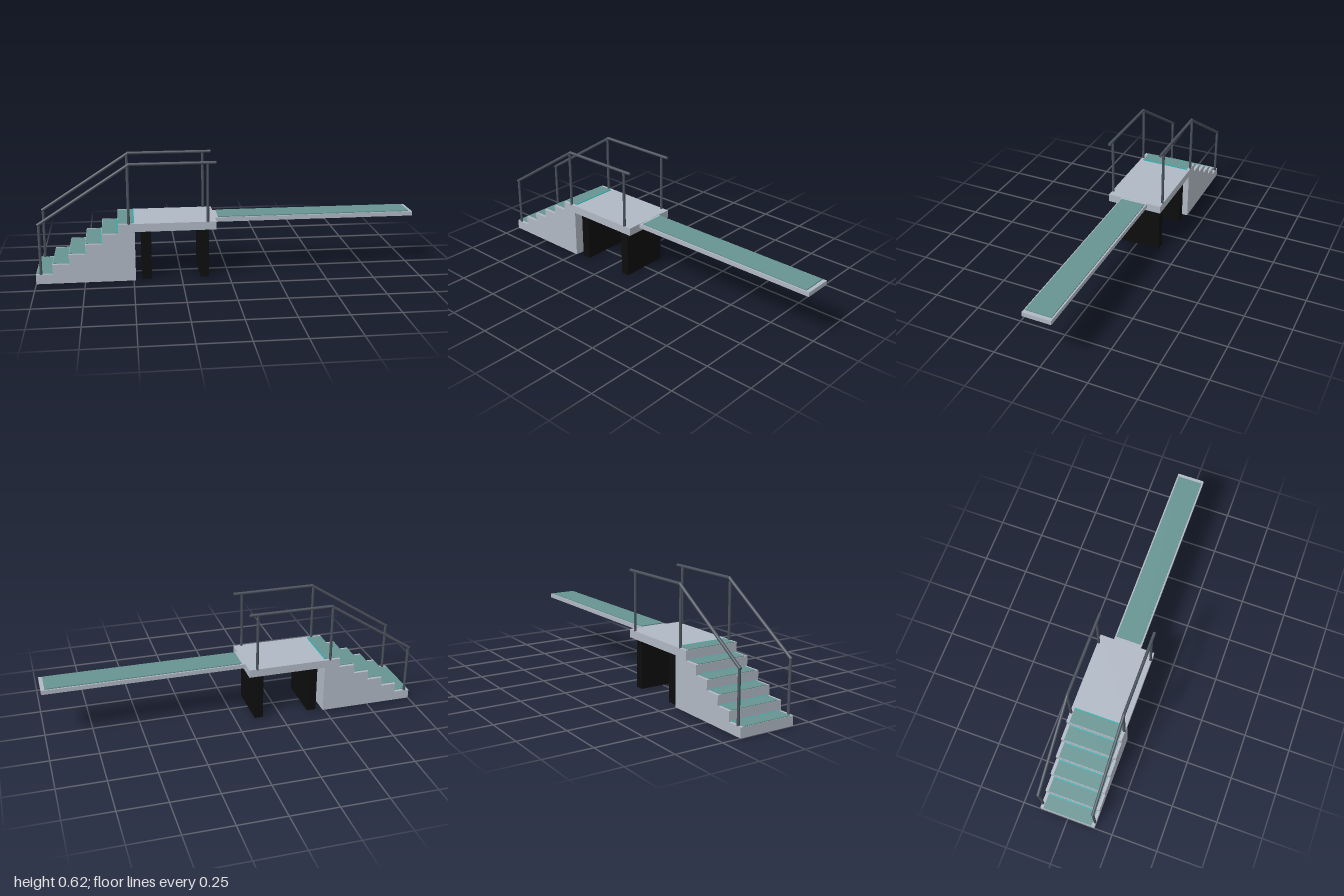
import * as THREE from 'three';

const material = (name, color) => {
  const m = new THREE.MeshStandardMaterial({ color });
  m.name = name;
  return m;
};

export function createModel() {
  const model = new THREE.Group();
  model.name = 'divingPlatform';
  const concrete = material('paleConcrete', 0xb0b8c4);
  const grip = material('mutedTealGrip', 0x669492);
  const edge = material('brightTealEdge', 0x18b4b4);
  const pillarBlack = material('blackPillar', 0x0d0d0d);
  const metal = material('darkRailMetal', 0x4a525c);

  // Box given by its lower and upper limits, centred on z = 0
  const box = (name, x0, x1, y0, y1, depth, mat, parent = model) => {
    const mesh = new THREE.Mesh(new THREE.BoxGeometry(x1 - x0, y1 - y0, depth), mat);
    mesh.name = name;
    mesh.position.set((x0 + x1) / 2, (y0 + y1) / 2, 0);
    parent.add(mesh);
  };

  // Solid staircase extruded from its stepped side profile
  const steps = 6, run = 0.085, rise = 0.0508, deckTop = 0.305, width = 0.304;
  const profile = new THREE.Shape();
  profile.moveTo(-1, 0);
  for (let i = 0; i < steps; i++) {
    profile.lineTo(-1 + i * run, (i + 1) * rise);
    profile.lineTo(-1 + (i + 1) * run, (i + 1) * rise);
  }
  profile.lineTo(-0.49, 0);
  const stairGeometry = new THREE.ExtrudeGeometry(profile, { depth: width, bevelEnabled: false });
  stairGeometry.translate(0, 0, -width / 2);
  const stairs = new THREE.Mesh(stairGeometry, concrete);
  stairs.name = 'staircase';
  model.add(stairs);

  // Grip mats with a bright rear edge on the treads
  const treads = new THREE.Group();
  treads.name = 'treadMats';
  model.add(treads);
  for (let i = 0; i < steps; i++) {
    const x = -1 + i * run, y = (i + 1) * rise;
    box('treadMat', x + 0.002, x + run - 0.006, y, y + 0.003, 0.27, grip, treads);
    box('treadMatEdge', x + run - 0.006, x + run - 0.001, y, y + 0.003, 0.27, edge, treads);
  }

  // Raised deck on two wall-like pillars
  box('deck', -0.49, -0.068, 0.262, deckTop, width, concrete);
  box('innerPillar', -0.455, -0.406, 0, 0.262, 0.264, pillarBlack);
  box('outerPillar', -0.152, -0.106, 0, 0.262, 0.264, pillarBlack);

  // Springboard and its grip mat
  box('board', -0.068, 1, 0.281, 0.304, 0.152, concrete);
  box('boardMat', -0.05, 0.98, 0.304, 0.309, 0.136, grip);

  // Round bar between two points
  const bar = (name, a, b, radius, parent) => {
    const start = new THREE.Vector3(...a), end = new THREE.Vector3(...b);
    const along = end.clone().sub(start);
    const mesh = new THREE.Mesh(new THREE.CylinderGeometry(radius, radius, along.length(), 16), metal);
    mesh.name = name;
    mesh.position.copy(start).add(end).multiplyScalar(0.5);
    mesh.quaternion.setFromUnitVectors(new THREE.Vector3(0, 1, 0), along.normalize());
    parent.add(mesh);
  };

  // Matching handrails on both sides
  for (const side of [1, -1]) {
    const z = side * 0.146;
    const rail = new THREE.Group();
    rail.name = side > 0 ? 'frontHandrail' : 'backHandrail';
    bar('stairPost', [-0.974, 0.05, z], [-0.974, 0.31, z], 0.007, rail);
    bar('middlePost', [-0.52, 0.3, z], [-0.52, 0.61, z], 0.007, rail);
    bar('outerPost', [-0.112, 0.3, z], [-0.112, 0.61, z], 0.007, rail);
    bar('slopedRail', [-0.98, 0.313, z], [-0.512, 0.615, z], 0.008, rail);
    bar('levelRail', [-0.515, 0.615, z], [-0.068, 0.615, z], 0.008, rail);
    const joint = new THREE.Mesh(new THREE.SphereGeometry(0.008, 16, 10), metal);
    joint.name = 'railJoint';
    joint.position.set(-0.514, 0.615, z);
    rail.add(joint);
    model.add(rail);
  }
  return model;
}
